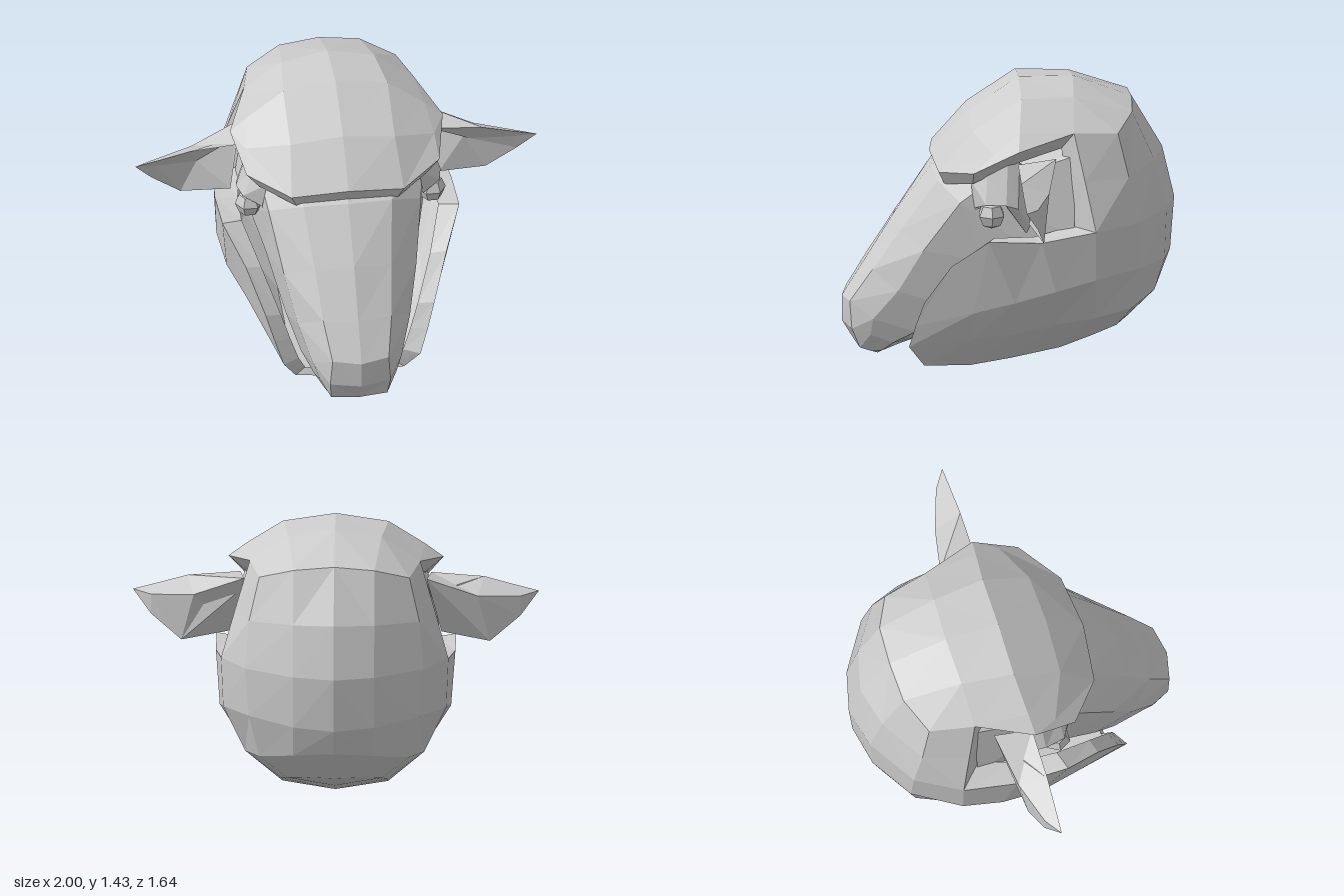
import * as THREE from 'three';

const hide = new THREE.MeshStandardMaterial({ color: 0xcccccc, flatShading: true, side: THREE.DoubleSide });
hide.name = 'plain grey';

// Faceted skin over rows of points; optionally mirrored across x = 0
function skin(name, rows, mirror = true) {
  const pos = [];
  const tri = (a, b, c) => {
    const [A, B, C] = [a, b, c].map(p => new THREE.Vector3(...p));
    const area = B.clone().sub(A).cross(C.clone().sub(A)).length();
    if (area < 1e-6) return;
    pos.push(...a, ...b, ...c);
    if (mirror) for (const p of [a, c, b]) pos.push(-p[0], p[1], p[2]);
  };
  for (let i = 0; i < rows.length - 1; i++) {
    for (let j = 0; j < rows[i].length - 1; j++) {
      const a = rows[i][j], b = rows[i][j + 1], c = rows[i + 1][j + 1], d = rows[i + 1][j];
      tri(a, b, c);
      tri(a, c, d);
    }
  }
  const geo = new THREE.BufferGeometry();
  geo.setAttribute('position', new THREE.Float32BufferAttribute(pos, 3));
  geo.computeVertexNormals();
  const mesh = new THREE.Mesh(geo, hide);
  mesh.name = name;
  return mesh;
}

export function createModel() {
  const g = new THREE.Group();
  g.name = 'sheepHead';

  // Wool cap, from the brow over the crown
  const crownBack = [[0, 1.32, -.61], [.2, 1.3, -.6], [.37, 1.24, -.52], [.42, 1.26, -.3]];
  const brow = [[0, 1.06, .39], [.28, 1.03, .36], [.48, 1.08, .2], [.53, 1.2, -.02]];
  g.add(skin('woolCap', [
    brow,
    [[0, 1.26, .2], [.26, 1.23, .19], [.47, 1.17, .1], [.53, 1.2, -.02]],
    [[0, 1.43, -.05], [.26, 1.39, -.05], [.44, 1.27, -.03], [.53, 1.2, -.02]],
    [[0, 1.43, -.32], [.23, 1.39, -.31], [.42, 1.26, -.3], [.42, 1.26, -.3]],
    crownBack,
  ]));

  // Wool cheeks and throat: rows run from the back centre to the front edge
  const cheek = [
    [[0, .8, -.82], [.2, .8, -.77], [.44, .8, -.62], [.56, .79, -.4],
      [.59, .75, -.13], [.59, .76, .13], [.5, .61, .31], [.42, .4, .44]],
    [[0, .53, -.8], [.2, .54, -.76], [.42, .56, -.63], [.55, .54, -.4],
      [.57, .49, -.2], [.55, .43, 0], [.48, .36, .2], [.38, .27, .48]],
    [[0, .4, -.75], [.2, .38, -.71], [.37, .34, -.59], [.44, .31, -.4],
      [.44, .28, -.2], [.42, .23, 0], [.4, .2, .2], [.34, .15, .51]],
    [[0, .23, -.6], [.14, .23, -.58], [.23, .21, -.52], [.26, .17, -.4],
      [.26, .11, -.24], [.26, .06, 0], [.27, .03, .2], [.27, .03, .43]],
    [[0, .14, -.42], [0, .14, -.42], [0, .14, -.42], [0, .14, -.42],
      [0, .07, -.25], [0, .03, 0], [0, 0, .2], [0, 0, .43]],
  ];
  g.add(skin('woolCheeks', cheek));

  // Wool at the back of the head
  g.add(skin('woolBack', [
    crownBack,
    [[0, 1.06, -.76], [.2, 1.05, -.71], [.42, 1.03, -.57], [.49, 1.03, -.35]],
    cheek[0].slice(0, 4),
  ]));

  // Thick rim where the wool opens around the face
  const outer = [...brow, [.42, 1.26, -.3], [.49, 1.03, -.35], ...cheek[0].slice(3),
    ...cheek.slice(1).map(r => r[7])];
  const inner = [
    [0, .98, .35], [.25, .96, .33], [.42, 1.01, .2], [.44, 1.12, -.02],
    [.37, 1.17, -.24], [.41, 1, -.27], [.44, .79, -.29], [.48, .75, -.1],
    [.49, .75, .1], [.42, .59, .29], [.34, .38, .41], [.3, .26, .44],
    [.26, .15, .46], [.22, .06, .41], [0, .04, .41],
  ];
  g.add(skin('woolRim', [outer, inner]));

  // Face and muzzle: half sections from lips back to temples
  g.add(skin('face', [
    [[0, .05, .69], [0, .05, .69], [0, .05, .69], [0, .05, .69], [0, .05, .69]],
    [[0, .09, .76], [.14, .09, .74], [.14, .07, .68], [.1, .05, .65], [0, .04, .64]],
    [[0, .19, .82], [.15, .19, .78], [.19, .17, .69], [.16, .08, .63], [0, .05, .61]],
    [[0, .32, .82], [.14, .33, .79], [.22, .26, .68], [.2, .13, .58], [0, .07, .52]],
    [[0, .5, .71], [.17, .5, .68], [.28, .42, .56], [.25, .2, .47], [0, .1, .43]],
    [[0, .73, .57], [.19, .71, .54], [.33, .64, .44], [.31, .36, .36], [0, .2, .3]],
    [[0, .98, .38], [.22, .97, .36], [.38, .9, .26], [.38, .6, .15], [0, .4, .15]],
    [[0, 1.07, .25], [.25, 1.04, .23], [.4, .99, .15], [.43, .73, 0], [0, .5, 0]],
    [[0, 1.16, -.3], [.25, 1.16, -.3], [.41, 1.14, -.3], [.47, .73, -.3], [0, .6, -.3]],
  ]));

  // Eyelids
  g.add(skin('eyelids', [
    [[.38, 1.02, .21], [.43, 1.06, .13], [.45, 1.11, .03], [.43, 1.12, -.03], [.4, 1.08, -.08]],
    [[.4, .88, .19], [.49, .92, .14], [.51, .92, .04], [.5, .9, -.02], [.44, .8, -.08]],
    [[.39, .86, .19], [.43, .9, .14], [.44, .9, .04], [.44, .76, -.06], [.43, .76, -.08]],
  ]));

  for (const s of [1, -1]) {
    const side = s > 0 ? 'left' : 'right';
    // Eyes
    const eye = new THREE.Mesh(new THREE.SphereGeometry(.07, 6, 4), hide);
    eye.position.set(s * .455, .86, .11);
    eye.name = side + 'Eye';
    g.add(eye);

    // Ears: cupped sections running top edge, inner fold, lower edge, back ridge
    const tip = [1, 1.03, -.03];
    const sections = [
      [[.47, 1.12, -.02], [.48, 1.06, -.17], [.52, .83, -.07], [.45, 1.14, -.21]],
      [[.73, 1.1, -.02], [.68, .97, -.13], [.76, .8, -.13], [.7, 1.04, -.16]],
      [[.88, 1.06, -.025], [.89, 1, -.07], [.91, .92, -.09], [.91, 1.02, -.09]],
      [tip, tip, tip, tip],
    ];
    const rows = sections.map(r => [...r, r[0]].map(p => [s * p[0], p[1], p[2]]));
    g.add(skin(side + 'Ear', s > 0 ? rows : rows.map(r => r.reverse()), false));
  }
  return g;
}
